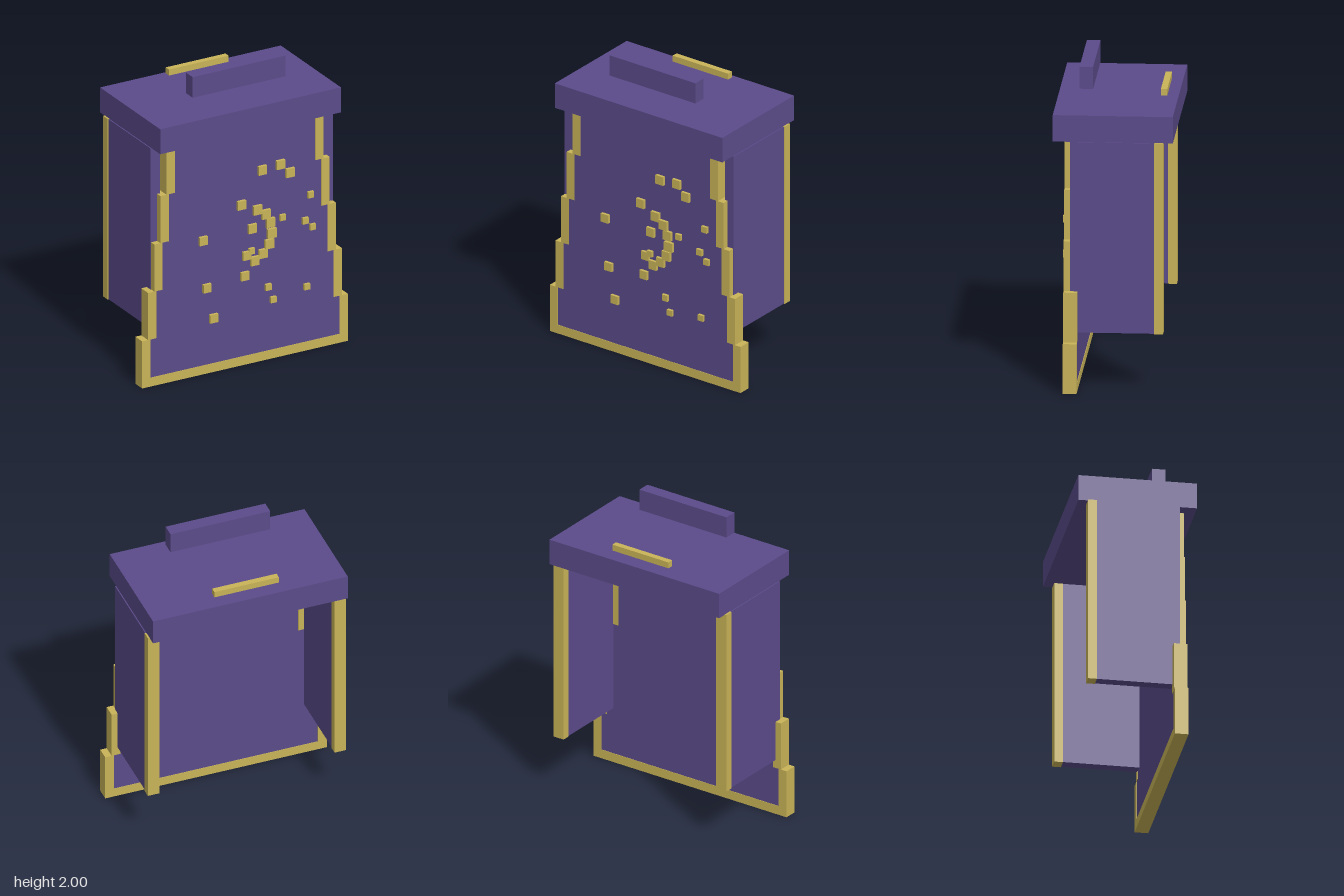
import * as THREE from 'three';

const purple = new THREE.MeshStandardMaterial({ color: 0x5b4b8a });
purple.name = 'purple';
const gold = new THREE.MeshStandardMaterial({ color: 0xc9b458 });
gold.name = 'gold';

// Box given by its extents along each axis
function box(parent, name, material, [x0, x1], [y0, y1], [z0, z1]) {
  const mesh = new THREE.Mesh(new THREE.BoxGeometry(x1 - x0, y1 - y0, z1 - z0), material);
  mesh.position.set((x0 + x1) / 2, (y0 + y1) / 2, (z0 + z1) / 2);
  mesh.name = name;
  parent.add(mesh);
  return mesh;
}

// Same box on both sides of x = 0
function pair(parent, name, material, [x0, x1], y, z) {
  box(parent, name + 'Left', material, [x0, x1], y, z);
  box(parent, name + 'Right', material, [-x1, -x0], y, z);
}

export function createModel() {
  const model = new THREE.Group();
  model.name = 'steppedCabinet';

  // Front panel: five tiers narrowing upwards, each edged in gold
  const front = new THREE.Group();
  front.name = 'frontPanel';
  model.add(front);
  const halfWidths = [0.74, 0.697, 0.653, 0.609, 0.565];
  const tier = 0.32, trim = 0.06;
  const panelZ = [0.223, 0.303], trimZ = [0.22, 0.306];
  halfWidths.forEach((w, i) => {
    const y = [i * tier, (i + 1) * tier];
    const inner = w - trim;
    box(front, 'panelTier' + (i + 1), purple, [-inner, inner], [i ? y[0] : trim, y[1]], panelZ);
    pair(front, 'edgeTrim' + (i + 1), gold, [inner, w], y, trimZ);
  });
  box(front, 'bottomTrim', gold, [-0.68, 0.68], [0, trim], trimZ);

  // Raised square studs: x, y, size
  const studs = [
    [0.12, 1.3, 0.06], [0.25, 1.31, 0.06], [0.32, 1.24, 0.06], [-0.03, 1.095, 0.06],
    [0.467, 1.058, 0.042], [-0.305, 0.912, 0.057], [0.048, 0.918, 0.06], [0.085, 1.037, 0.062],
    [0.146, 0.995, 0.062], [0.178, 0.931, 0.062], [0.188, 0.857, 0.064], [0.17, 0.788, 0.062],
    [0.125, 0.732, 0.06], [0.066, 0.695, 0.06], [0.008, 0.743, 0.057], [0.042, 0.767, 0.04],
    [0.265, 0.947, 0.04], [0.428, 0.889, 0.042], [0.482, 0.836, 0.04], [-0.005, 0.607, 0.057],
    [-0.278, 0.584, 0.057], [0.162, 0.496, 0.042], [0.199, 0.403, 0.04], [0.44, 0.438, 0.04],
    [-0.23, 0.369, 0.057],
  ];
  studs.forEach(([x, y, s], i) => {
    const h = s / 2;
    box(front, 'stud' + (i + 1), gold, [x - h, x + h], [y - h, y + h], [0.295, 0.322]);
  });

  // Side walls with gold posts along their back edges
  pair(model, 'sideWall', purple, [0.588, 0.657], [0.375, 1.6], [-0.26, 0.265]);
  pair(model, 'backPost', gold, [0.585, 0.662], [0.373, 1.602], [-0.315, -0.26]);

  // Lid, with a block and a bar floating above it
  box(model, 'lid', purple, [-0.65, 0.65], [1.6, 1.77], [-0.375, 0.375]);
  box(model, 'topBlock', purple, [-0.333, 0.333], [1.86, 2], [0.145, 0.23]);
  box(model, 'rearBar', gold, [-0.215, 0.215], [1.795, 1.836], [-0.31, -0.27]);

  return model;
}
